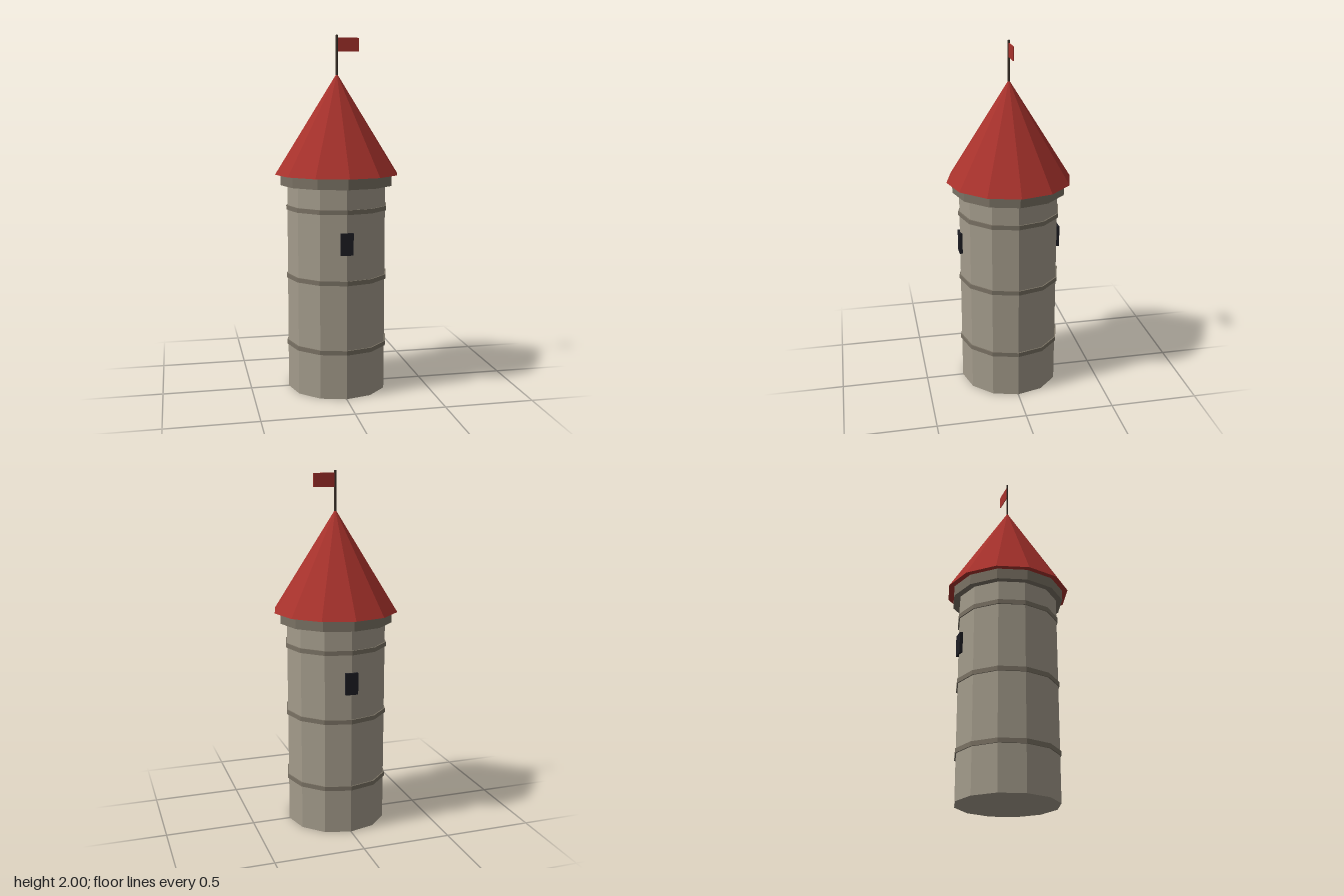
import * as THREE from 'three';

const SIDES = 12;

function material(color) {
  return new THREE.MeshStandardMaterial({ color, flatShading: true });
}

export function createModel() {
  const tower = new THREE.Group();
  tower.name = 'tower';

  const stone = material(0xa39b8b);
  const trim = material(0x7a7264);
  const red = material(0xa8322c);
  const dark = material(0x1e1e24);
  const wood = material(0x3a3028);

  const add = (name, geometry, mat, x, y, z) => {
    const mesh = new THREE.Mesh(geometry, mat);
    mesh.name = name;
    mesh.position.set(x, y, z);
    tower.add(mesh);
    return mesh;
  };
  // Upright prism from height y0 to y1
  const drum = (name, radius, y0, y1, mat, sides = SIDES) =>
    add(name, new THREE.CylinderGeometry(radius, radius, y1 - y0, sides), mat, 0, (y0 + y1) / 2, 0);

  // Shaft and the collar under the eaves
  drum('shaft', 0.283, 0, 1.18, stone);
  drum('collar', 0.32, 1.17, 1.23, trim);

  // Stone courses around the shaft
  [0.265, 0.655, 1.045].forEach((y, i) => {
    drum(`stoneBand${i + 1}`, 0.29, y - 0.0125, y + 0.0125, trim);
  });

  // Pointed roof
  add('roof', new THREE.ConeGeometry(0.352, 0.56, SIDES), red, 0, 1.51, 0);

  // Windows, front and back
  for (const side of [1, -1]) {
    add(side > 0 ? 'frontWindow' : 'backWindow',
      new THREE.BoxGeometry(0.07, 0.122, 0.02), dark, 0, 0.872, side * 0.281);
  }

  // Flagpole and flag
  drum('flagpole', 0.006, 1.77, 2, wood, 6);
  add('flag', new THREE.BoxGeometry(0.124, 0.075, 0.004), red, 0.063, 1.948, 0);

  return tower;
}
